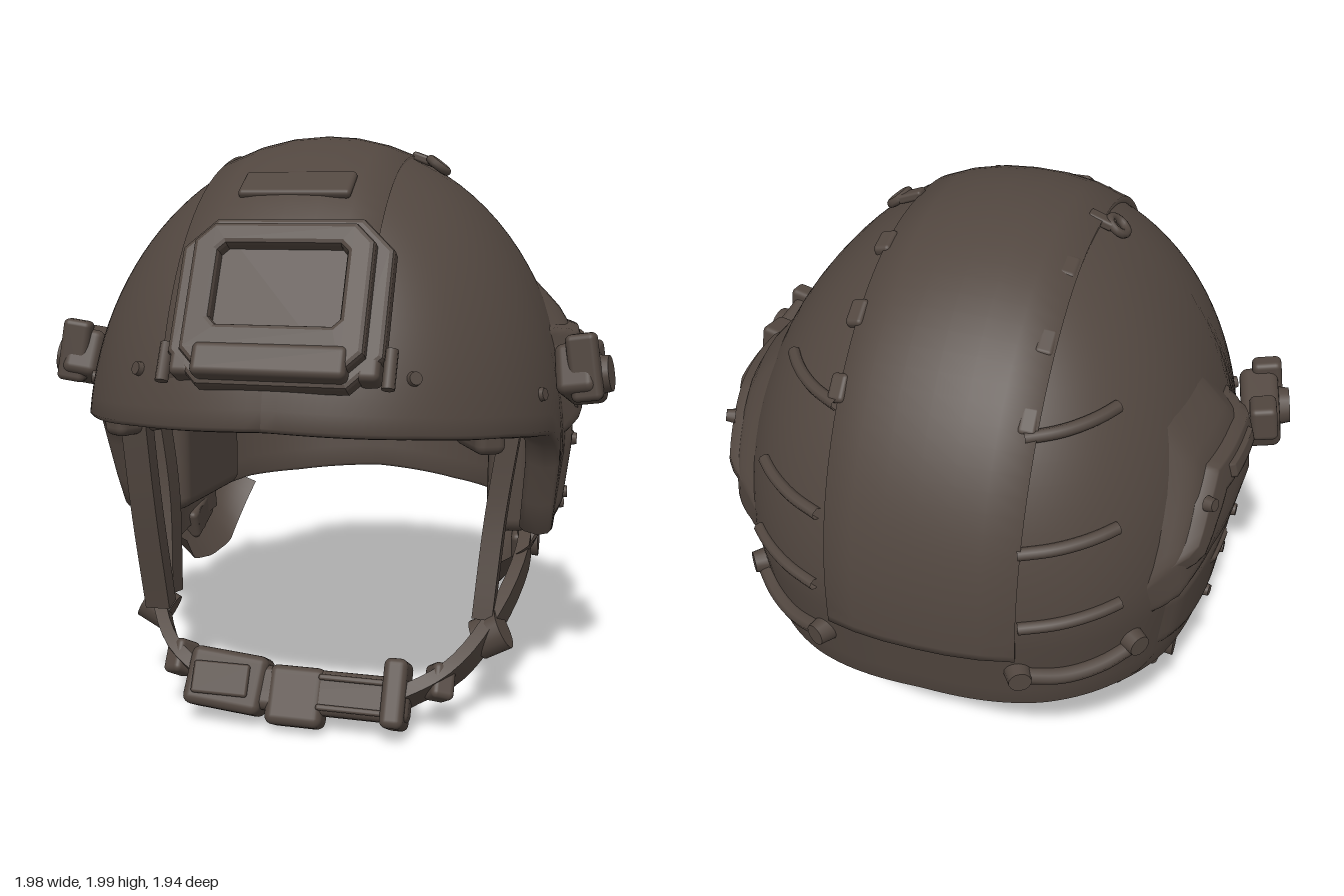
import * as THREE from 'three';
import { toCreasedNormals } from 'three/addons/utils/BufferGeometryUtils.js';
import { RoundedBoxGeometry } from 'three/addons/geometries/RoundedBoxGeometry.js';

const W = 0.832, ZF = 0.94, ZB = 0.955, Y0 = 0.95, H = 1.035, TAPER = 0.15;
const mat = new THREE.MeshStandardMaterial({ color: 0x51463f, side: THREE.DoubleSide });
mat.name = 'dark brown';
const V = (x, y, z) => new THREE.Vector3(x, y, z);
const UP = V(0, 1, 0);

function add(parent, name, geo, pos, rot) {
  const m = new THREE.Mesh(geo, mat);
  m.name = name;
  if (pos) m.position.set(...pos);
  if (rot) m.rotation.set(...rot);
  parent.add(m);
  return m;
}

// Indexed surface from a function of (row, column)
function grid(rows, cols, f) {
  const p = [], idx = [];
  for (let i = 0; i <= rows; i++) for (let j = 0; j <= cols; j++) p.push(...f(i, j).toArray());
  for (let i = 0; i < rows; i++) for (let j = 0; j < cols; j++) {
    const a = i * (cols + 1) + j, b = a + 1, c = a + cols + 1, d = c + 1;
    idx.push(a, c, b, b, c, d);
  }
  const g = new THREE.BufferGeometry();
  g.setAttribute('position', new THREE.Float32BufferAttribute(p, 3));
  g.setIndex(idx);
  g.computeVertexNormals();
  return g;
}

// Helmet surface rules: round front, boxier back, lower wall tapering inward
const zr = z => (z < 0 ? ZB : ZF), ex = z => (z < 0 ? 2.4 : 2.3);
const ringAt = y => (y > Y0 ? Math.sqrt(Math.max(0, 1 - ((y - Y0) / H) ** 2)) : 1 - TAPER * (Y0 - y) / H);
const sideX = (y, z) => {
  const n = ex(z);
  return W * Math.max(0, ringAt(y) ** n - Math.abs(z / zr(z)) ** n) ** (1 / n);
};
const normalAt = (x, y, z) => V(x / W ** 2, y > Y0 ? (y - Y0) / H ** 2 : 0, z / zr(z) ** 2).normalize();
function onSide(y, z, lift = 0) {
  const x = sideX(y, z);
  return V(x, y, z).addScaledVector(normalAt(x, y, z), lift);
}
function shellPoint(a, phi, k) {
  const s = Math.sin(a), c = Math.cos(a), e = 2 / ex(c);
  const low = Math.max(0, phi - Math.PI / 2);
  const r = (low ? 1 - TAPER * low : Math.sin(phi)) * k;
  const y = low ? Y0 - H * low : Y0 + (H - (1 - k)) * Math.cos(phi);
  return V(W * r * Math.sign(s) * Math.abs(s) ** e, y, zr(c) * r * Math.sign(c) * Math.abs(c) ** e);
}
// Linear lookup along a short list of points
function along(pts, u) {
  const t = u * (pts.length - 1), i = Math.min(Math.floor(t), pts.length - 2), f = t - i;
  return pts[i].map((v, k) => v + (pts[i + 1][k] - v) * f);
}
const RIM = [[0, 1.14], [30, 1.12], [55, 1.09], [74, 1.05], [80, 0.98], [85, 0.66], [96, 0.61], [118, 0.6], [135, 0.625], [155, 0.63], [180, 0.655]];
function rimY(a) {
  let d = Math.abs(a * 180 / Math.PI) % 360;
  if (d > 180) d = 360 - d;
  const i = Math.max(1, RIM.findIndex(r => r[0] >= d - 1e-6));
  const [p, q] = [RIM[i - 1], RIM[i]];
  return p[1] + (q[1] - p[1]) * (d - p[0]) / (q[0] - p[0]);
}
// Closed shell: outside, rolled rim, padded inside
function shell() {
  const N = 28, edge = [[0.985, -0.015], [0.94, -0.025], [0.88, -0.015]];
  return grid(2 * N + 3, 160, (i, j) => {
    const a = j / 160 * Math.PI * 2, ry = rimY(a);
    const end = ry > Y0 ? Math.acos((ry - Y0) / H) : Math.PI / 2 + (Y0 - ry) / H;
    if (i <= N) return shellPoint(a, end * i / N, 1);
    if (i <= N + 3) {
      const [k, dy] = edge[i - N - 1], p = shellPoint(a, end, 1);
      return V(p.x * k, p.y + dy, p.z * k);
    }
    return shellPoint(a, end * (2 * N + 3 - i) / (N - 1), 0.86);
  });
}
// Raised strip over the crown from brow to nape
function crownStrip() {
  const xs = [-0.31, -0.305, -0.2, -0.1, 0, 0.1, 0.2, 0.295, 0.3];
  return grid(50, 8, (i, j) => {
    const x = xs[j], t = (17 + Math.min(i, 46) / 46 * 163) * Math.PI / 180, c = Math.cos(t), n = ex(c);
    const z = zr(c) * (1 - Math.abs(x / W) ** n) ** (1 / n) * c;
    const r = (Math.abs(x / W) ** n + Math.abs(z / zr(z)) ** n) ** (1 / n);
    const y = Y0 + H * Math.sqrt(Math.max(0, 1 - r * r)) - Math.max(0, i - 46) * 0.022;
    const lift = j === 0 || j === 8 || i === 0 || i === 50 ? -0.02 : 0.016;
    return V(x - 0.015, y, z).addScaledVector(normalAt(x, y, z), lift);
  });
}
// Raised pad on the side wall between two (z, y) edges
function sidePad(top, bottom, lift, bevel = 0.12) {
  return grid(14, 28, (i, j) => {
    const u = j / 28, v = i / 14, a = along(top, u), b = along(bottom, u);
    const e = Math.min(1, Math.min(u, 1 - u) * 1.6 / bevel, Math.min(v, 1 - v) / bevel);
    const z = a[0] + (b[0] - a[0]) * v, y = a[1] + (b[1] - a[1]) * v;
    return V(sideX(y, z) - 0.02 + (lift + 0.02) * e, y, z);
  });
}
// Flat webbing swept along a curve, facing sideways
function strap(pts, width, thick) {
  const curve = new THREE.CatmullRomCurve3(pts.map(p => V(...p)));
  const corners = [[1, 1], [1, -1], [-1, -1], [-1, 1], [1, 1]];
  return toCreasedNormals(grid(18, 4, (i, j) => {
    const t = curve.getTangent(i / 18), s = V(1, 0, 0).cross(t).normalize(), n = t.clone().cross(s);
    return curve.getPoint(i / 18).addScaledVector(s, corners[j][0] * width / 2).addScaledVector(n, corners[j][1] * thick / 2);
  }), 0.7);
}
const tube = (pts, r) => new THREE.TubeGeometry(new THREE.CatmullRomCurve3(pts), 16, r, 8);
const box = (w, h, d, r = 0.02) => new RoundedBoxGeometry(w, h, d, 3, r);
function bolt(parent, y, z, r, h, lift) {
  const p = onSide(y, z), m = add(parent, 'bolt', new THREE.CylinderGeometry(r * 0.8, r, h, 14));
  const n = normalAt(p.x, y, z);
  m.position.copy(p).addScaledVector(n, lift);
  m.quaternion.setFromUnitVectors(UP, n);
}
function plate(pts, depth, hole) {
  const s = new THREE.Shape(pts.map(p => new THREE.Vector2(...p)));
  if (hole) s.holes.push(new THREE.Path(hole.map(p => new THREE.Vector2(...p))));
  return new THREE.ExtrudeGeometry(s, { depth, bevelThickness: 0.015, bevelSize: 0.015, bevelSegments: 2 });
}
const octagon = (w, h, c) => [[-w, -h + c], [-w + c, -h], [w - c, -h], [w, -h + c], [w, h - c], [w - c, h], [-w + c, h], [-w, h - c]];

function buildSide() {
  const g = new THREE.Group();
  // Ear protection and accessory rail
  add(g, 'sidePanel', sidePad([[0.18, 1.22], [0.02, 1.38], [-0.14, 1.54], [-0.42, 1.53], [-0.58, 1.24], [-0.68, 1.0]],
    [[0.14, 1.0], [0, 0.96], [-0.15, 0.94], [-0.4, 0.92], [-0.55, 0.92], [-0.65, 0.9]], 0.055, 0.25));
  add(g, 'earCover', sidePad([[0.09, 1.06], [-0.1, 1.12], [-0.35, 1.08], [-0.62, 0.9]],
    [[0.08, 0.68], [-0.06, 0.61], [-0.4, 0.6], [-0.58, 0.7]], 0.018, 0.2));
  add(g, 'earRidge', sidePad([[-0.14, 1.0], [-0.25, 0.98], [-0.38, 0.92]], [[-0.16, 0.9], [-0.24, 0.87], [-0.34, 0.86]], 0.03, 0.4));
  add(g, 'rail', sidePad([[0.1, 1.36], [-0.18, 1.38], [-0.4, 1.37], [-0.5, 1.28], [-0.66, 1.04]],
    [[0.1, 1.24], [-0.15, 1.22], [-0.36, 1.22], [-0.44, 1.16], [-0.62, 1.0]], 0.088, 0.2));
  add(g, 'railSlot', sidePad([[-0.06, 1.33], [-0.36, 1.33]], [[-0.06, 1.26], [-0.36, 1.25]], 0.103, 0.2));
  add(g, 'earPad', box(0.16, 0.48, 0.52, 0.05), [0.62, 0.86, -0.2], [0, 0.1, 0]);
  add(g, 'napeFlap', grid(12, 16, (i, j) => {
    const u = j / 16, f = i / 12;
    const a = along([[0.08, 0.66], [-0.3, 0.66], [-0.64, 0.66]], u);
    const b = along([[-0.03, 0.48], [-0.11, 0.38], [-0.28, 0.345], [-0.43, 0.36], [-0.5, 0.44], [-0.62, 0.58]], u);
    const z = a[0] + (b[0] - a[0]) * f;
    return V(sideX(0.7, z * 0.85) - 0.04 - 0.16 * f + Math.sin(f * Math.PI) * 0.03, a[1] + (b[1] - a[1]) * f, z);
  }));
  // Clamp at the temple
  const clamp = new THREE.Group();
  clamp.name = 'templeClamp';
  clamp.position.set(0.88, 1.22, 0.18);
  clamp.rotation.set(-0.35, -0.2, 0.1);
  add(clamp, 'clampBody', box(0.13, 0.17, 0.24, 0.03));
  add(clamp, 'clampJaw', box(0.1, 0.22, 0.07), [0.03, 0, 0.09], [0.3, 0, 0]);
  add(clamp, 'clampTail', box(0.09, 0.12, 0.12), [0.01, 0.07, -0.1], [0.4, 0, 0]);
  add(clamp, 'clampKnob', new THREE.CylinderGeometry(0.06, 0.07, 0.06, 16), [0.07, -0.01, 0.01], [0, 0, -Math.PI / 2]);
  g.add(clamp);
  // Bolts
  for (const [y, z, l] of [[1.18, 0.38, 0], [1.28, 0.79, 0], [1.25, -0.45, 0.09], [1.1, 0.05, 0.03], [0.95, -0.07, 0.018], [0.76, -0.05, 0.015], [0.68, -0.2, 0.015]])
    bolt(g, y, z, 0.025, 0.03, l);
  // Rear bars, edge clips and crown loop
  for (const [y, z0, z1] of [[1.585, -0.53, -0.725], [1.28, -0.7, -0.87], [1.03, -0.74, -0.91]])
    add(g, 'rearBar', tube([0, 0.25, 0.5, 0.75, 1].map(t => onSide(y + 0.01 - 0.03 * t, z0 + (z1 - z0) * t, 0.008)), 0.02));
  for (const [y, z] of [[1.88, -0.28], [1.76, -0.52], [1.6, -0.69]])
    add(g, 'edgeClip', box(0.06, 0.05, 0.09, 0.015), [0.29, y, z], [-Math.atan2(-z, y - Y0), 0, -0.25]);
  const loop = add(g, 'crownLoop', new THREE.TorusGeometry(0.035, 0.015, 8, 18), [0.37, 1.9, 0.03]);
  loop.quaternion.setFromUnitVectors(V(0, 0, 1), V(0.6, 0.8, 0));
  add(g, 'loopTab', box(0.09, 0.03, 0.05, 0.01), [0.32, 1.92, 0.01], [0, 0, -0.35]);
  // Rear lower clip
  for (const [y, z] of [[0.84, -0.68], [0.8, -0.89]]) bolt(g, y, z, 0.045, 0.06, 0.015);
  add(g, 'rearClip', tube([[0.82, -0.68], [0.79, -0.76], [0.78, -0.83], [0.8, -0.89]].map(p => onSide(...p, 0.012)), 0.028));
  // Harness webbing
  add(g, 'earStrap', strap([[0.66, 1.08, 0.13], [0.61, 0.72, 0.15], [0.58, 0.36, 0.22]], 0.1, 0.07));
  add(g, 'chinStrap', strap([[0.64, 0.57, -0.42], [0.69, 0.51, -0.1], [0.62, 0.35, 0.2], [0.5, 0.22, 0.38], [0.34, 0.14, 0.46]], 0.11, 0.045));
  add(g, 'strapBuckle', new THREE.CylinderGeometry(0.07, 0.07, 0.1, 20), [0.61, 0.31, 0.24], [0, 0, Math.PI / 2 + 0.5]);
  add(g, 'rearBuckle', new THREE.CylinderGeometry(0.05, 0.06, 0.1, 18), [0.68, 0.5, -0.29], [0, 0, Math.PI / 2]);
  add(g, 'rearBuckleBase', box(0.06, 0.12, 0.2), [0.66, 0.51, -0.32], [0.35, 0, 0]);
  add(g, 'strapSlider', box(0.08, 0.12, 0.1), [0.46, 0.19, 0.41], [-0.6, 0.5, 0]);
  return g;
}

export function createModel() {
  const model = new THREE.Group();
  model.name = 'helmet';
  add(model, 'shell', shell());
  add(model, 'crownStrip', crownStrip());
  add(model, 'rearPad', box(0.62, 0.5, 0.16, 0.03), [0, 1.17, -0.7], [0.12, 0, 0]);
  add(model, 'browPad', box(0.66, 0.16, 0.12, 0.03), [0, 1.2, 0.7]);
  const left = buildSide(), right = buildSide();
  left.name = 'leftSide';
  right.name = 'rightSide';
  right.scale.x = -1;
  model.add(left, right);
  for (const s of [-1, 1]) add(model, 'templePad', box(0.1, 0.16, 0.22, 0.03), [s * 0.58, 1.09, 0.46], [0, s * 0.5, 0]);
  // Forward strap on one side only
  add(model, 'frontStrap', strap([[-0.58, 1.12, 0.48], [-0.57, 0.75, 0.43], [-0.56, 0.36, 0.35]], 0.065, 0.09));

  // Front mount plate
  const mount = new THREE.Group();
  mount.name = 'frontMount';
  mount.position.set(0.03, 1.485, 0.785);
  mount.rotation.x = -0.48;
  add(mount, 'mountPlate', plate(octagon(0.31, 0.25, 0.09), 0.04), [0, 0, -0.02]);
  add(mount, 'mountFrame', plate(octagon(0.26, 0.215, 0.05), 0.045, octagon(0.21, 0.14, 0.03).map(([x, y]) => [x, y + 0.035])), [0, 0, 0.02]);
  add(mount, 'mountFoot', box(0.46, 0.1, 0.08), [0, -0.2, 0.05]);
  for (const s of [-1, 1]) {
    add(mount, 'mountCheek', box(0.07, 0.17, 0.09), [s * 0.28, -0.15, -0.01]);
    add(mount, 'mountPin', new THREE.CylinderGeometry(0.02, 0.02, 0.12, 10), [s * 0.34, -0.19, 0]);
  }
  model.add(mount);
  add(model, 'browRidge', box(0.36, 0.03, 0.13, 0.014), [0, 1.832, 0.5], [0.54, 0, 0]);

  // Chin cup with its buckle
  const chin = new THREE.Group();
  chin.name = 'chinCup';
  chin.position.set(0, 0.13, 0.46);
  chin.rotation.x = -0.5;
  add(chin, 'chinBar', box(0.74, 0.15, 0.11, 0.03));
  add(chin, 'chinBuckle', box(0.28, 0.2, 0.14, 0.03), [-0.27, 0.01, 0], [0, 0, -0.08]);
  add(chin, 'chinCentre', box(0.2, 0.2, 0.12, 0.03), [-0.02, -0.02, 0]);
  add(chin, 'buckleFace', box(0.2, 0.11, 0.03, 0.01), [-0.28, 0.01, 0.07]);
  add(chin, 'chinRing', box(0.08, 0.23, 0.17, 0.025), [0.32, 0.02, 0]);
  for (const y of [-0.05, 0.05]) add(chin, 'chinRib', box(0.24, 0.02, 0.02, 0.008), [0.18, y, 0.058]);
  model.add(chin);
  return model;
}
